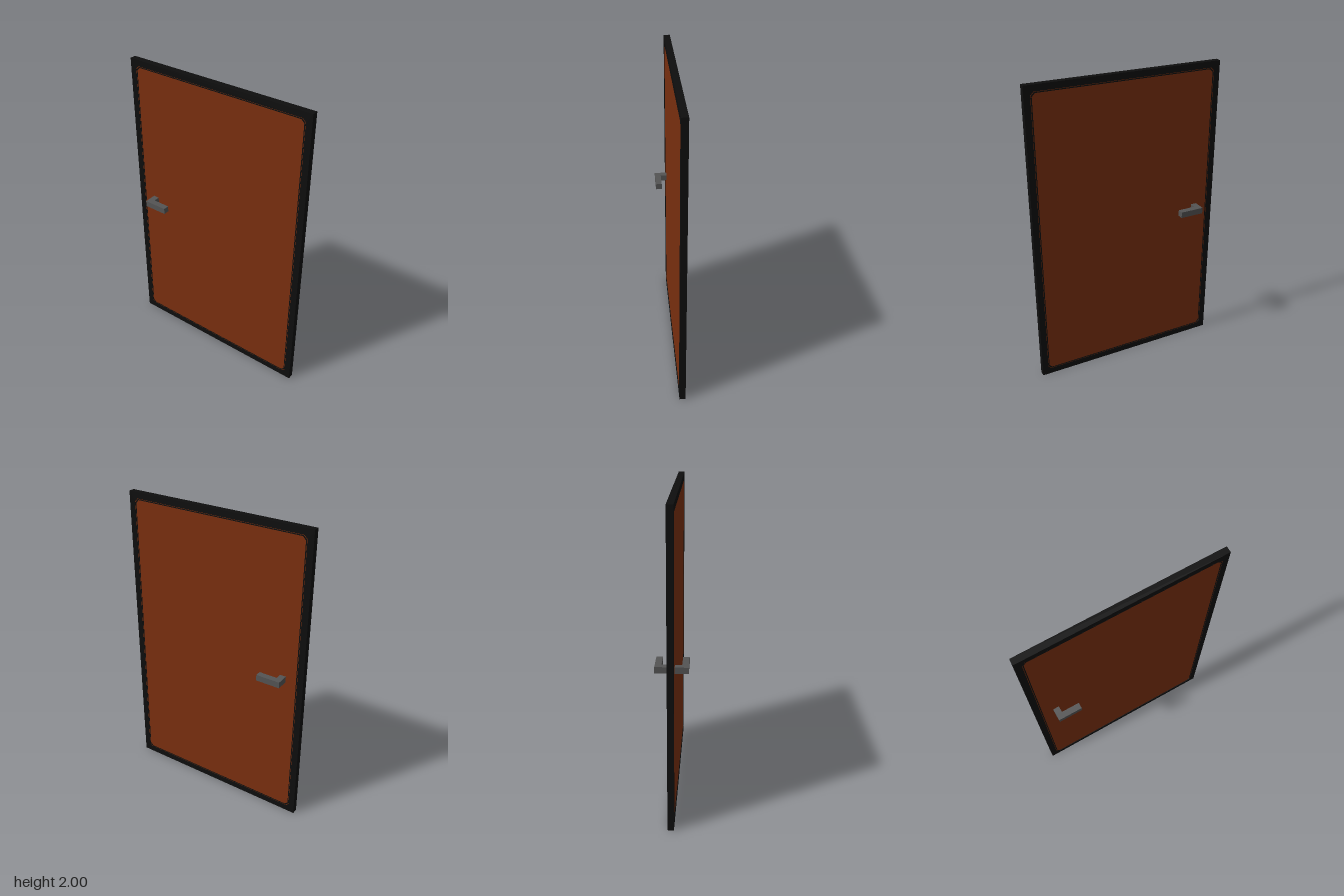
import * as THREE from 'three';

const mat = (name, color, extra = {}) => {
  const m = new THREE.MeshStandardMaterial({ color, ...extra });
  m.name = name;
  return m;
};

// Rectangle with cut corners, centred on (0, cy)
function chamferedRect(w, h, cut, cy, Type = THREE.Shape) {
  const x = w / 2, y = h / 2, c = cut;
  const corners = [[-x + c, -y], [x - c, -y], [x, -y + c], [x, y - c],
    [x - c, y], [-x + c, y], [-x, y - c], [-x, -y + c]];
  return new Type(corners.map(([a, b]) => new THREE.Vector2(a, b + cy)));
}

// Extrude a shape drawn in the z-y plane to a thickness centred on x = 0
function slab(shape, thickness) {
  const g = new THREE.ExtrudeGeometry(shape, { depth: thickness, bevelEnabled: false });
  g.translate(0, 0, -thickness / 2);
  g.rotateY(Math.PI / 2);
  return g;
}

export function createModel() {
  const door = new THREE.Group();
  door.name = 'door';
  const black = mat('black frame', 0x0e0e0e);
  const brown = mat('brown panel', 0x7a2f0f);
  const grey = mat('dark grey metal', 0x545454);
  const add = (name, geometry, material, parent = door) => {
    const mesh = new THREE.Mesh(geometry, material);
    mesh.name = name;
    parent.add(mesh);
    return mesh;
  };

  // Outer frame around the opening
  const outline = chamferedRect(1.28, 2, 0, 1);
  outline.holes.push(chamferedRect(1.2, 1.92, 0.02, 1, THREE.Path));
  add('frame', slab(outline, 0.04), black);

  // Door leaf, set just below the frame faces
  add('panel', slab(chamferedRect(1.2, 1.92, 0.02, 1), 0.036), brown);

  // Thin dark seam around the leaf on both faces
  const seam = chamferedRect(1.194, 1.914, 0.02, 1);
  seam.holes.push(chamferedRect(1.182, 1.902, 0.02, 1, THREE.Path));
  const seamGeometry = slab(seam, 0.002);
  for (const side of [-1, 1]) add('seam', seamGeometry, black).position.x = side * 0.018;

  // Lever handle: spindle through the leaf and a grip on each side
  const handle = new THREE.Group();
  handle.name = 'handle';
  handle.position.set(0, 1.025, -0.5);
  door.add(handle);
  add('spindle', new THREE.BoxGeometry(0.12, 0.04, 0.04), grey, handle);
  const grip = new THREE.BoxGeometry(0.04, 0.04, 0.16);
  for (const side of [-1, 1]) add('grip', grip, grey, handle).position.set(side * 0.08, 0, 0.06);

  return door;
}
